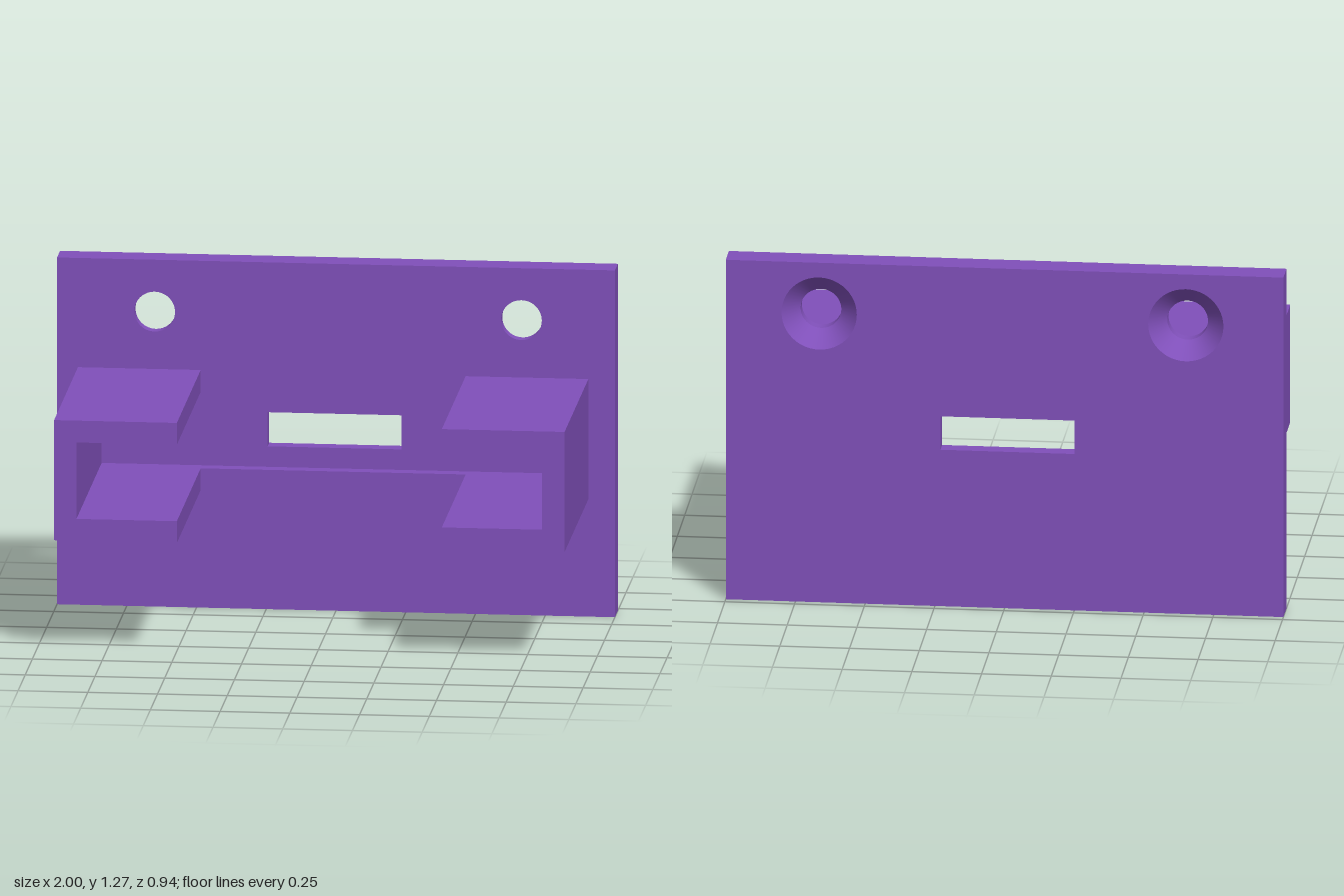
import * as THREE from 'three';

const BACK = -0.47, FACE = -0.365, RECESS = -0.413, SINK = -0.408, TIP = 0.47;
const HOLE_R = 0.073, SINK_R = 0.135, HOLES = [[-0.65, 1.08], [0.665, 1.08]];

// Rectangles as [x0, x1, y0, y1]
const PLATE = [-1, 1, 0, 1.27];
const POCKET = [-0.845, 0.825, 0.51, 0.79];
const SLOT = [-0.25, 0.23, 0.585, 0.71];

function trace(path, [x0, x1, y0, y1]) {
  path.moveTo(x0, y0).lineTo(x1, y0).lineTo(x1, y1).lineTo(x0, y1).closePath();
  return path;
}

// Turns a geometry inside out
function flip(geo) {
  const idx = geo.index.array;
  for (let i = 0; i < idx.length; i += 3) [idx[i], idx[i + 1]] = [idx[i + 1], idx[i]];
  const n = geo.attributes.normal.array;
  for (let i = 0; i < n.length; i++) n[i] = -n[i];
  return geo;
}

// Flat sheet at depth z with rectangular and round openings
function sheet(rect, z, rects, radius) {
  const shape = trace(new THREE.Shape(), rect);
  for (const r of rects) shape.holes.push(trace(new THREE.Path(), r));
  if (radius) for (const [x, y] of HOLES) {
    shape.holes.push(new THREE.Path().absarc(x, y, radius, 0, Math.PI * 2, true));
  }
  return new THREE.ShapeGeometry(shape, 24).translate(0, 0, z);
}

// The four side walls of a box, open at both z ends
function walls([x0, x1, y0, y1], z0, z1) {
  const geo = new THREE.BoxGeometry(x1 - x0, y1 - y0, z1 - z0);
  geo.setIndex(Array.from(geo.index.array.slice(0, 24)));
  geo.clearGroups();
  return geo.translate((x0 + x1) / 2, (y0 + y1) / 2, (z0 + z1) / 2);
}

// Inward-facing round wall between two radii
function bore(r0, z0, r1, z1) {
  const profile = [new THREE.Vector2(r0, z0), new THREE.Vector2(r1, z1)];
  return new THREE.LatheGeometry(profile, 48).rotateX(Math.PI / 2);
}

export function createModel() {
  const model = new THREE.Group();
  const purple = new THREE.MeshStandardMaterial({ color: 0x8050ba });
  purple.name = 'purple plastic';
  const add = (parent, name, geo) => {
    const mesh = new THREE.Mesh(geo, purple);
    mesh.name = name;
    parent.add(mesh);
    return mesh;
  };

  // Mounting plate with a shallow pocket, a through slot and two screw holes
  const plate = new THREE.Group();
  plate.name = 'mountingPlate';
  model.add(plate);
  add(plate, 'plateFront', sheet(PLATE, FACE, [POCKET], HOLE_R));
  add(plate, 'plateBack', flip(sheet(PLATE, BACK, [SLOT], SINK_R)));
  add(plate, 'plateEdges', walls(PLATE, BACK, FACE));
  add(plate, 'pocketFloor', sheet(POCKET, RECESS, [SLOT]));
  add(plate, 'pocketWalls', flip(walls(POCKET, RECESS, FACE)));
  add(plate, 'slotWalls', flip(walls(SLOT, BACK, RECESS)));

  // Screw holes, countersunk from the back
  for (const [x, y] of HOLES) {
    add(plate, 'screwHole', bore(HOLE_R, FACE, HOLE_R, SINK)).position.set(x, y, 0);
    add(plate, 'countersink', bore(HOLE_R, SINK, SINK_R, BACK)).position.set(x, y, 0);
  }

  // C-shaped holder channels, open towards the middle
  for (const side of [-1, 1]) {
    const px = (d) => side * d - 0.01;
    const profile = [
      [0.475, 0.43], [0.915, 0.43], [0.915, 0.87], [0.475, 0.87],
      [0.475, 0.79], [0.835, 0.79], [0.835, 0.51], [0.475, 0.51],
    ].map(([d, y]) => new THREE.Vector2(px(d), y));
    const geo = new THREE.ExtrudeGeometry(new THREE.Shape(profile), {
      depth: TIP - FACE, bevelEnabled: false,
    });
    add(model, side > 0 ? 'leftChannel' : 'rightChannel', geo.translate(0, 0, FACE));
  }
  return model;
}
